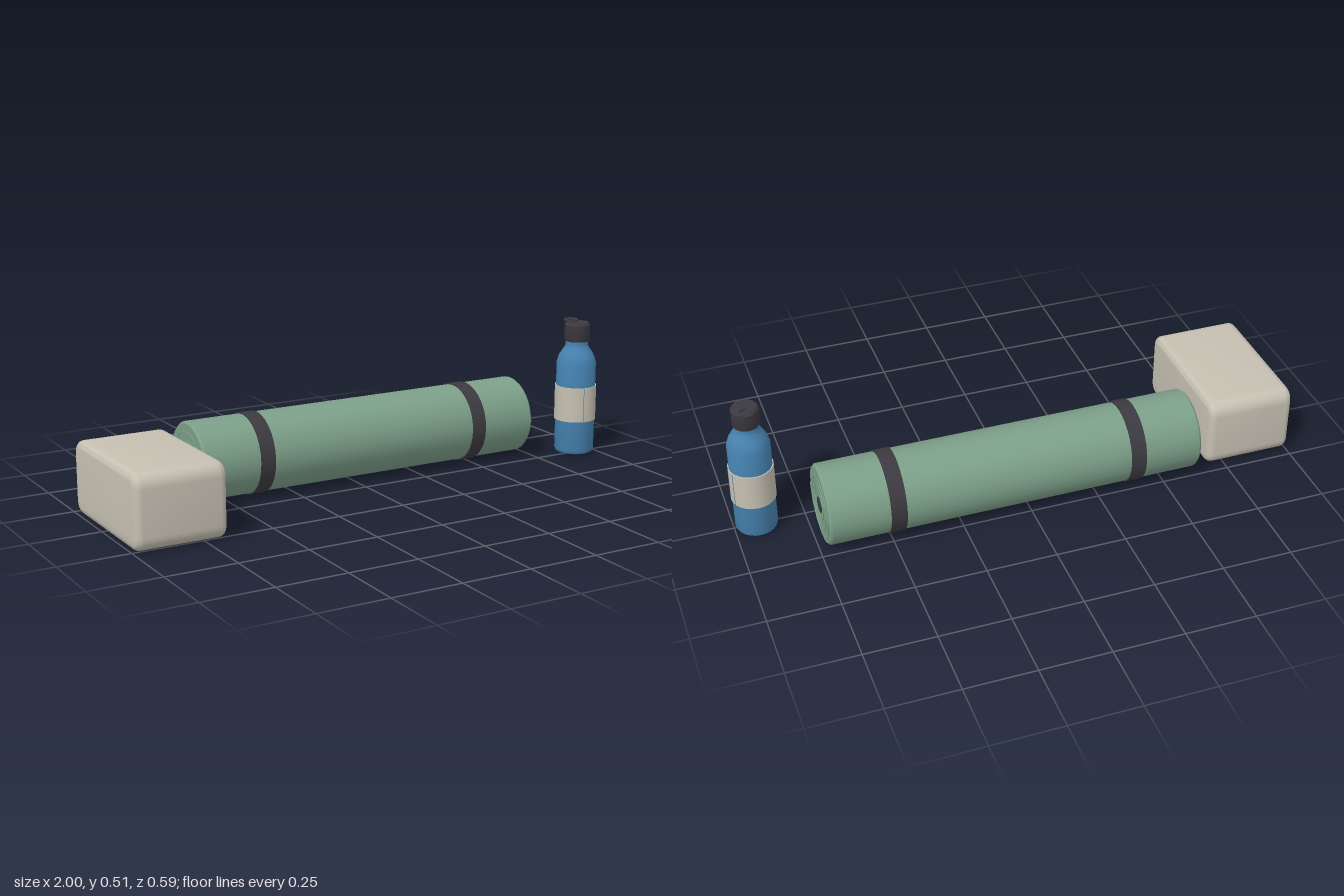
import * as THREE from 'three';
import { toCreasedNormals } from 'three/addons/utils/BufferGeometryUtils.js';

const mat = (name, color) => Object.assign(new THREE.MeshStandardMaterial({ color }), { name });

export function createModel() {
  const green = mat('sage green', 0x7c9f88);
  const cream = mat('warm cream', 0xc6c0b2);
  const blue = mat('bottle blue', 0x4682b0);
  const dark = mat('charcoal', 0x3c3a40);
  const model = new THREE.Group();

  const add = (parent, name, geometry, material, x = 0, y = 0, z = 0) => {
    const mesh = new THREE.Mesh(geometry, material);
    mesh.name = name;
    mesh.position.set(x, y, z);
    parent.add(mesh);
    return mesh;
  };
  const group = (name, x, y, z) => {
    const g = new THREE.Group();
    g.name = name;
    g.position.set(x, y, z);
    model.add(g);
    return g;
  };
  const lathe = (points, sides) => toCreasedNormals(
    new THREE.LatheGeometry(points.map(([r, y]) => new THREE.Vector2(r, y)), sides), 0.6);

  // Foam block: rounded side profile, extruded along x with a soft bevel
  const bevel = 0.025, a = 0.2615 - bevel, b = 0.129 - bevel, r = 0.025;
  const side = new THREE.Shape();
  side.moveTo(-a + r, -b);
  side.lineTo(a - r, -b).quadraticCurveTo(a, -b, a, -b + r);
  side.lineTo(a, b - r).quadraticCurveTo(a, b, a - r, b);
  side.lineTo(-a + r, b).quadraticCurveTo(-a, b, -a, b - r);
  side.lineTo(-a, -b + r).quadraticCurveTo(-a, -b, -a + r, -b);
  const block = new THREE.ExtrudeGeometry(side, {
    depth: 0.32 - 2 * bevel, bevelThickness: bevel, bevelSize: bevel, bevelSegments: 5, curveSegments: 6,
  });
  block.translate(0, 0, -0.16 + bevel).rotateY(Math.PI / 2);
  add(model, 'foamBlock', toCreasedNormals(block, 0.7), cream, -0.84, 0.134, 0.0315);

  // Rolled mat lying along x
  const roll = group('rolledMat', 0.0525, 0.145, -0.151);
  const half = 0.6725;
  add(roll, 'matBody', lathe([
    [0, -half], [0.134, -half], [0.141, -half + 0.008],
    [0.141, half - 0.008], [0.134, half], [0, half],
  ], 28).rotateZ(-Math.PI / 2), green);

  // Spiral layer edge, running through so it shows at both ends
  const inner = [], outer = [];
  const steps = 36;
  for (let i = 0; i <= steps; i++) {
    const turn = i / 12, angle = Math.PI - turn * Math.PI * 2, radius = 0.03 + turn * 0.0335;
    inner.push(new THREE.Vector2(Math.cos(angle) * (radius - 0.003), Math.sin(angle) * (radius - 0.003)));
    outer.push(new THREE.Vector2(Math.cos(angle) * (radius + 0.003), Math.sin(angle) * (radius + 0.003)));
  }
  const spiral = new THREE.ExtrudeGeometry(new THREE.Shape([...inner, ...outer.reverse()]), {
    depth: 2 * half + 0.005, bevelEnabled: false,
  });
  spiral.translate(0, 0, -half - 0.0025).rotateY(Math.PI / 2);
  add(roll, 'spiralLayer', spiral, green);
  add(roll, 'rollCore', new THREE.CylinderGeometry(0.028, 0.028, 2 * half + 0.008, 12).rotateZ(Math.PI / 2), dark);
  for (const x of [-0.382, 0.487]) {
    add(roll, 'strap', new THREE.CylinderGeometry(0.145, 0.145, 0.055, 28).rotateZ(Math.PI / 2), dark, x - 0.0525);
  }

  // Water bottle
  const bottle = group('waterBottle', 0.922, 0, -0.009);
  add(bottle, 'bottleBody', lathe([
    [0, 0.004], [0.062, 0.004], [0.07, 0.009], [0.074, 0.02], [0.074, 0.35],
    [0.066, 0.376], [0.055, 0.394], [0.042, 0.414], [0.042, 0.436], [0, 0.436],
  ], 24), blue);
  add(bottle, 'sleeve', new THREE.CylinderGeometry(0.078, 0.078, 0.131, 24), cream, 0, 0.1975, 0);

  // Fine seams on the sleeve
  for (const angle of [0, 0.45, -0.45, Math.PI / 2 + 0.22]) {
    const seam = add(bottle, 'sleeveSeam', new THREE.BoxGeometry(0.002, 0.13, 0.0015), blue,
      Math.cos(angle) * 0.0777, 0.1975, Math.sin(angle) * 0.0777);
    seam.rotation.y = -angle;
  }

  // Screw cap with carry loop
  add(bottle, 'cap', lathe([
    [0, 0.432], [0.045, 0.432], [0.0475, 0.436], [0.0475, 0.494], [0.041, 0.502], [0, 0.502],
  ], 20), dark);
  add(bottle, 'carryLoop', new THREE.TorusGeometry(0.0235, 0.005, 8, 20).rotateX(Math.PI / 2), dark, 0, 0.504, -0.04);

  return model;
}
